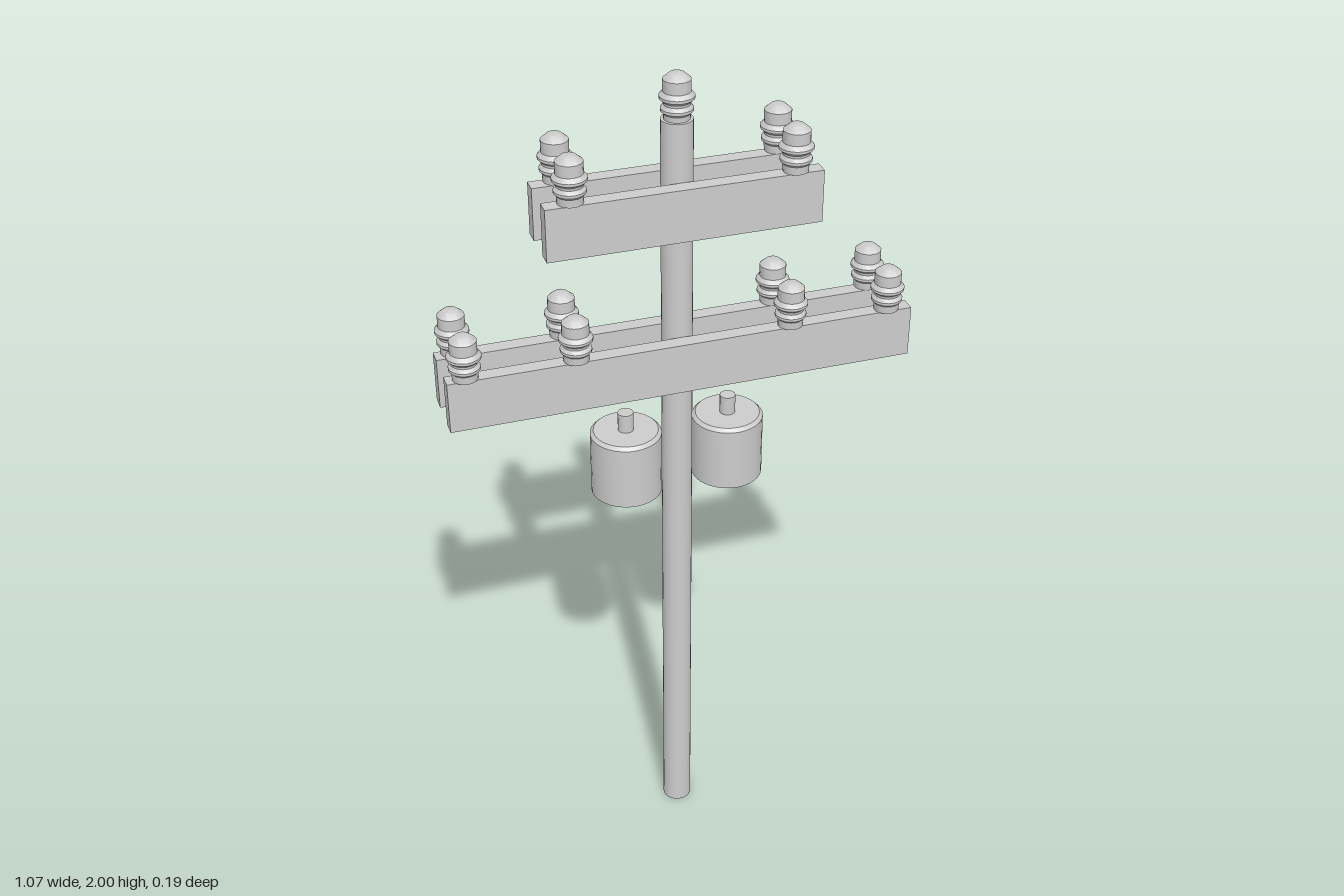
import * as THREE from 'three';
import { toCreasedNormals } from 'three/addons/utils/BufferGeometryUtils.js';

const material = new THREE.MeshStandardMaterial({ color: 0xcccccc });

// Turned part from [radius, height] pairs, with sharp edges kept
function turned(profile, segments) {
  const points = profile.map(([r, y]) => new THREE.Vector2(r, y));
  return toCreasedNormals(new THREE.LatheGeometry(points, segments), 0.6);
}

export function createModel() {
  const model = new THREE.Group();
  model.name = 'utilityPole';

  function add(parent, name, geometry, x, y, z) {
    const mesh = new THREE.Mesh(geometry, material);
    mesh.name = name;
    mesh.position.set(x, y, z);
    parent.add(mesh);
    return mesh;
  }

  // Pole
  add(model, 'pole', new THREE.CylinderGeometry(0.035, 0.035, 1.9, 24), 0, 0.95, 0);

  // Ribbed insulator with a shallow conical cap, standing on y = 0
  const insulator = turned([
    [0, 0], [0.028, 0], [0.029, 0.018], [0.035, 0.024], [0.035, 0.03],
    [0.029, 0.038], [0.03, 0.044], [0.038, 0.051], [0.038, 0.057],
    [0.03, 0.066], [0.03, 0.092], [0.016, 0.104], [0, 0.106],
  ], 20);
  add(model, 'topInsulator', insulator, 0, 1.894, 0);

  // Paired crossarms with their insulators
  const tiers = [
    { name: 'upper', y: 1.65, half: 0.305, spots: [-0.246, 0.246], zFront: 0.052 },
    { name: 'lower', y: 1.28, half: 0.533, spots: [-0.49, -0.246, 0.246, 0.477], zFront: 0.056 },
  ];
  for (const { name, y, half, spots, zFront } of tiers) {
    const tier = new THREE.Group();
    tier.name = name + 'Crossarms';
    model.add(tier);
    for (const side of [1, -1]) {
      const arm = new THREE.BoxGeometry(half * 2, 0.12, 0.035);
      add(tier, side > 0 ? 'frontArm' : 'backArm', arm, 0, y + 0.06, side * 0.053);
      for (const x of spots) {
        add(tier, 'insulator', insulator, x, y + 0.121, side > 0 ? zFront : -0.059);
      }
    }
  }

  // Transformer cans with a bevelled rim and a terminal on top
  const can = turned([[0, 0], [0.082, 0], [0.082, 0.152], [0.074, 0.16], [0, 0.16]], 32);
  const terminal = new THREE.CylinderGeometry(0.018, 0.018, 0.05, 16);
  for (const side of [-1, 1]) {
    const transformer = new THREE.Group();
    transformer.name = side > 0 ? 'leftTransformer' : 'rightTransformer';
    transformer.position.set(side * 0.122, 1.003, 0);
    add(transformer, 'can', can, 0, 0, 0);
    add(transformer, 'terminal', terminal, 0, 0.18, 0);
    model.add(transformer);
  }

  return model;
}
